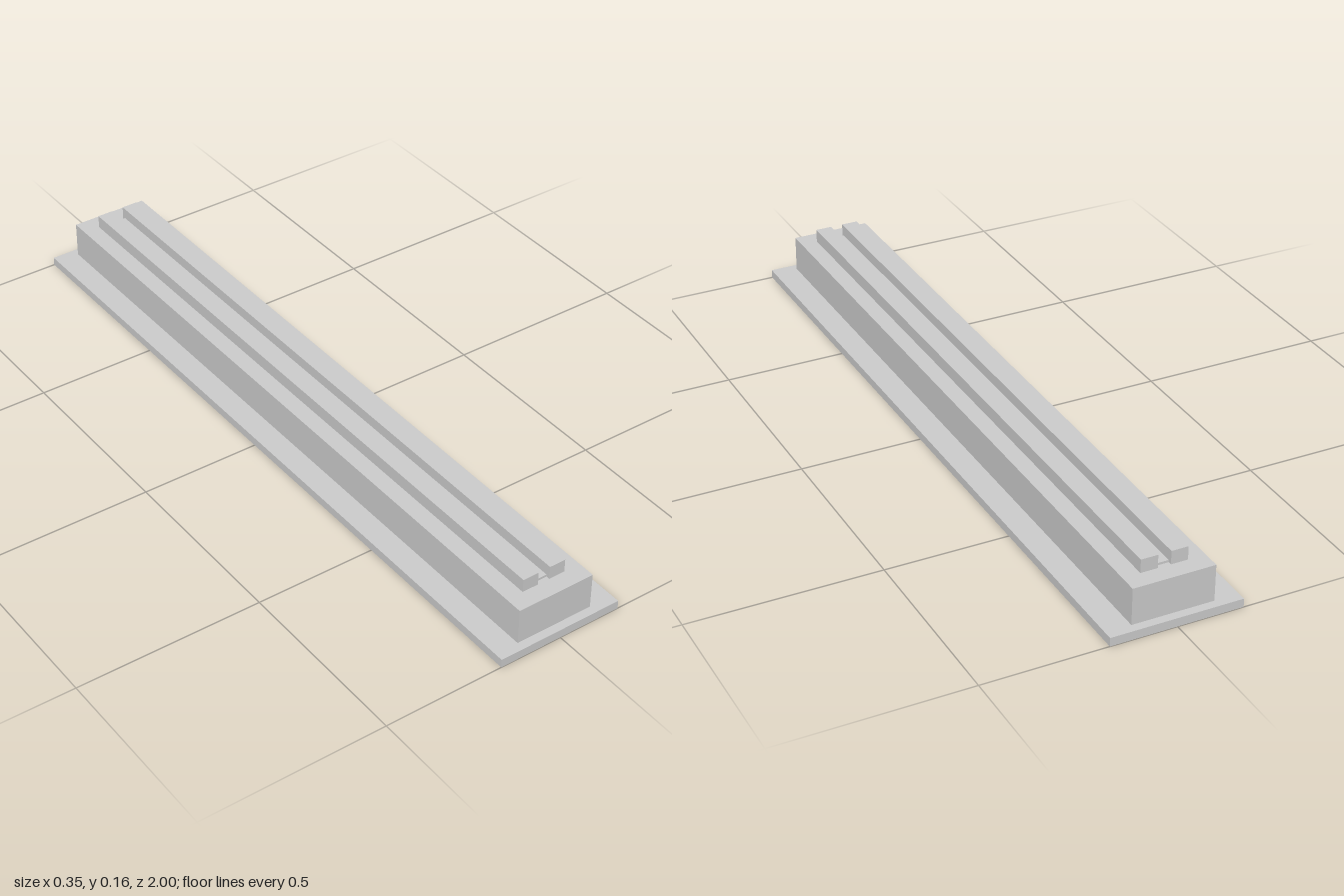
import * as THREE from 'three';

export function createModel() {
  const model = new THREE.Group();
  const material = new THREE.MeshStandardMaterial({ color: 0xcccccc, flatShading: true });
  const openMaterial = material.clone();
  openMaterial.side = THREE.DoubleSide;

  const add = (name, geometry, mat = material) => {
    const mesh = new THREE.Mesh(geometry, mat);
    mesh.name = name;
    model.add(mesh);
  };
  // Box given by its x range, y range and length along z
  const box = (x0, x1, y0, y1, length) =>
    new THREE.BoxGeometry(x1 - x0, y1 - y0, length)
      .translate((x0 + x1) / 2, (y0 + y1) / 2, 0);

  // Base flange: a shallow tray turned upside down, open underneath
  const flange = box(-0.174, 0.174, 0, 0.023, 2);
  const index = Array.from(flange.index.array);
  index.splice(18, 6); // drop the bottom face
  flange.setIndex(index);
  flange.clearGroups();
  add('baseFlange', flange, openMaterial);

  // Raised housing
  add('housing', box(-0.109, 0.107, 0.023, 0.121, 1.954));

  // Twin rails along the top
  add('rightRail', box(-0.0625, -0.018, 0.12, 0.157, 1.86));
  add('leftRail', box(0.016, 0.061, 0.12, 0.157, 1.86));

  // Low sloped strip joining the rails
  const profile = new THREE.Shape([
    new THREE.Vector2(-0.052, 0.12),
    new THREE.Vector2(0.052, 0.12),
    new THREE.Vector2(0.016, 0.127),
    new THREE.Vector2(-0.018, 0.127),
  ]);
  const strip = new THREE.ExtrudeGeometry(profile, { depth: 1.84, bevelEnabled: false });
  add('railBridge', strip.translate(0, 0, -0.92));

  return model;
}
